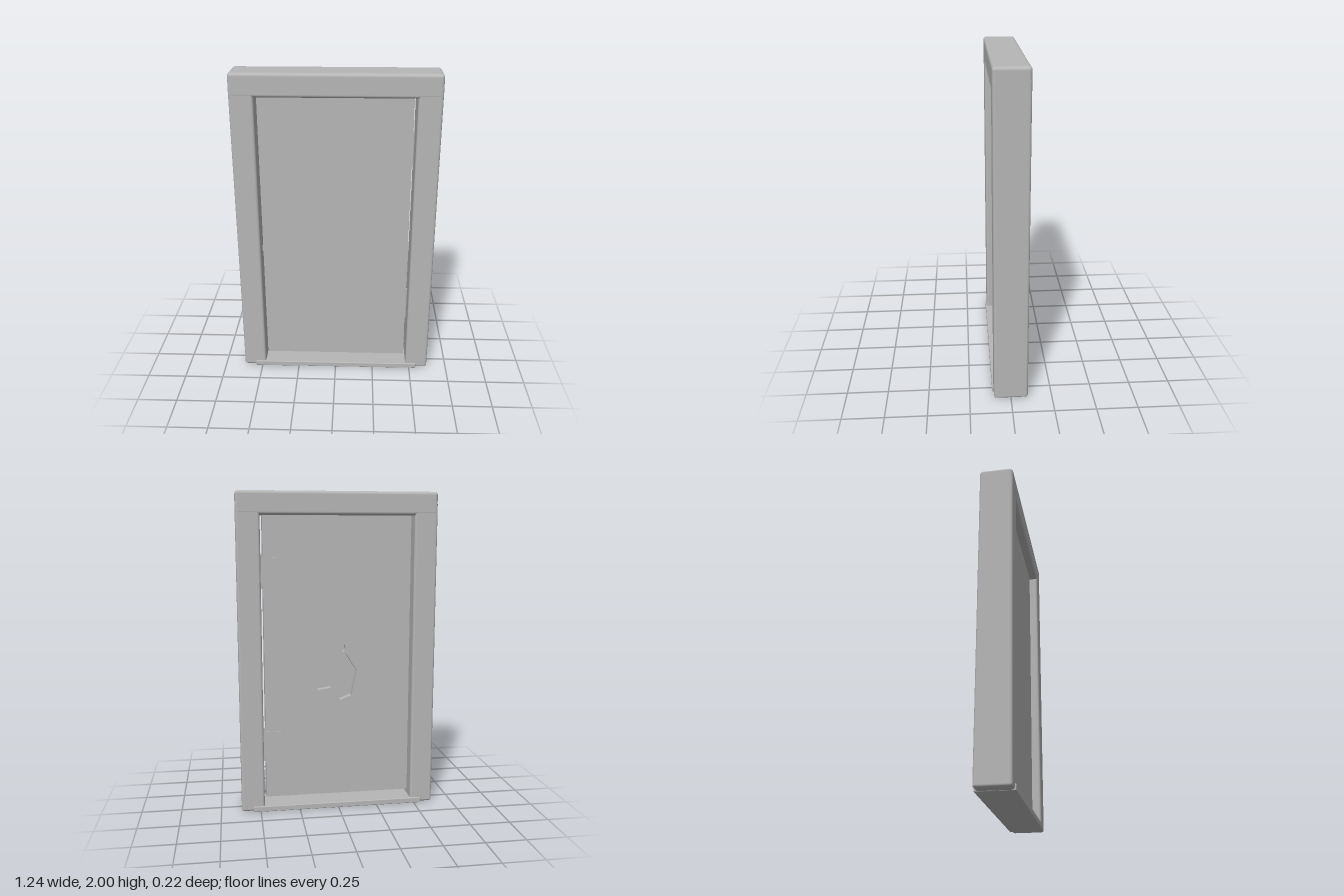
import * as THREE from 'three';
import { RoundedBoxGeometry } from 'three/addons/geometries/RoundedBoxGeometry.js';

const grey = new THREE.MeshStandardMaterial({ color: 0xb6b6b6 });
grey.name = 'plain grey';

export function createModel() {
  const model = new THREE.Group();
  model.name = 'doorway';

  const add = (name, geometry, x = 0, y = 0, z = 0) => {
    const mesh = new THREE.Mesh(geometry, grey);
    mesh.name = name;
    mesh.position.set(x, y, z);
    model.add(mesh);
    return mesh;
  };
  // Box given by its limits, with optional rounded edges
  const block = (name, [x0, x1], [y0, y1], [z0, z1], r = 0) => {
    const w = x1 - x0, h = y1 - y0, d = z1 - z0;
    const geometry = r ? new RoundedBoxGeometry(w, h, d, 4, r) : new THREE.BoxGeometry(w, h, d);
    return add(name, geometry, (x0 + x1) / 2, (y0 + y1) / 2, (z0 + z1) / 2);
  };

  // Frame: two jambs, a lintel and a sill
  block('rightJamb', [-0.62, -0.475], [0.004, 1.94], [-0.103, 0.103], 0.016);
  block('leftJamb', [0.475, 0.62], [0.004, 1.94], [-0.103, 0.103], 0.016);
  block('lintel', [-0.62, 0.62], [1.857, 2], [-0.104, 0.104], 0.02);
  block('sill', [-0.545, 0.545], [0, 0.035], [-0.111, 0.111], 0.005);

  // Door leaf: a solid front half and a back half with the handle recess
  const [x0, x1, y0, y1] = [-0.465, 0.46, 0.077, 1.859];
  block('doorFront', [x0, x1], [y0, y1], [0, 0.05]);

  const leaf = new THREE.Shape([[x0, y0], [x1, y0], [x1, y1], [x0, y1]].map(p => new THREE.Vector2(...p)));
  const recess = new THREE.Path();
  recess.moveTo(-0.054, 1.0);
  [[-0.126, 0.886], [-0.09, 0.727], [-0.018, 0.7], [0.04, 0.782], [0.126, 0.766],
    [0.14, 0.807], [0.097, 0.851], [0.076, 0.949], [-0.008, 0.99]].forEach(p => recess.lineTo(...p));
  // Round eye above the recess, joined by a narrow neck
  recess.absarc(-0.022, 1.035, 0.03, -1.1, Math.PI + 1.1, false);
  recess.closePath();
  leaf.holes.push(recess);
  add('doorBack', new THREE.ExtrudeGeometry(leaf, { depth: 0.05, bevelEnabled: false, curveSegments: 10 }), 0, 0, -0.05);

  // Hinges: knuckle in the gap and a plate on the back of the door
  for (const y of [0.425, 1.52]) {
    add('hingeKnuckle', new THREE.CylinderGeometry(0.012, 0.012, 0.216, 16), 0.467, y, -0.04);
    block('hingePlate', [0.315, 0.472], [y - 0.085, y + 0.085], [-0.055, -0.046]);
  }

  // Latch bolt crossing the gap into the frame
  block('latchBolt', [-0.485, -0.455], [0.828, 0.866], [-0.015, 0.015]);

  return model;
}
